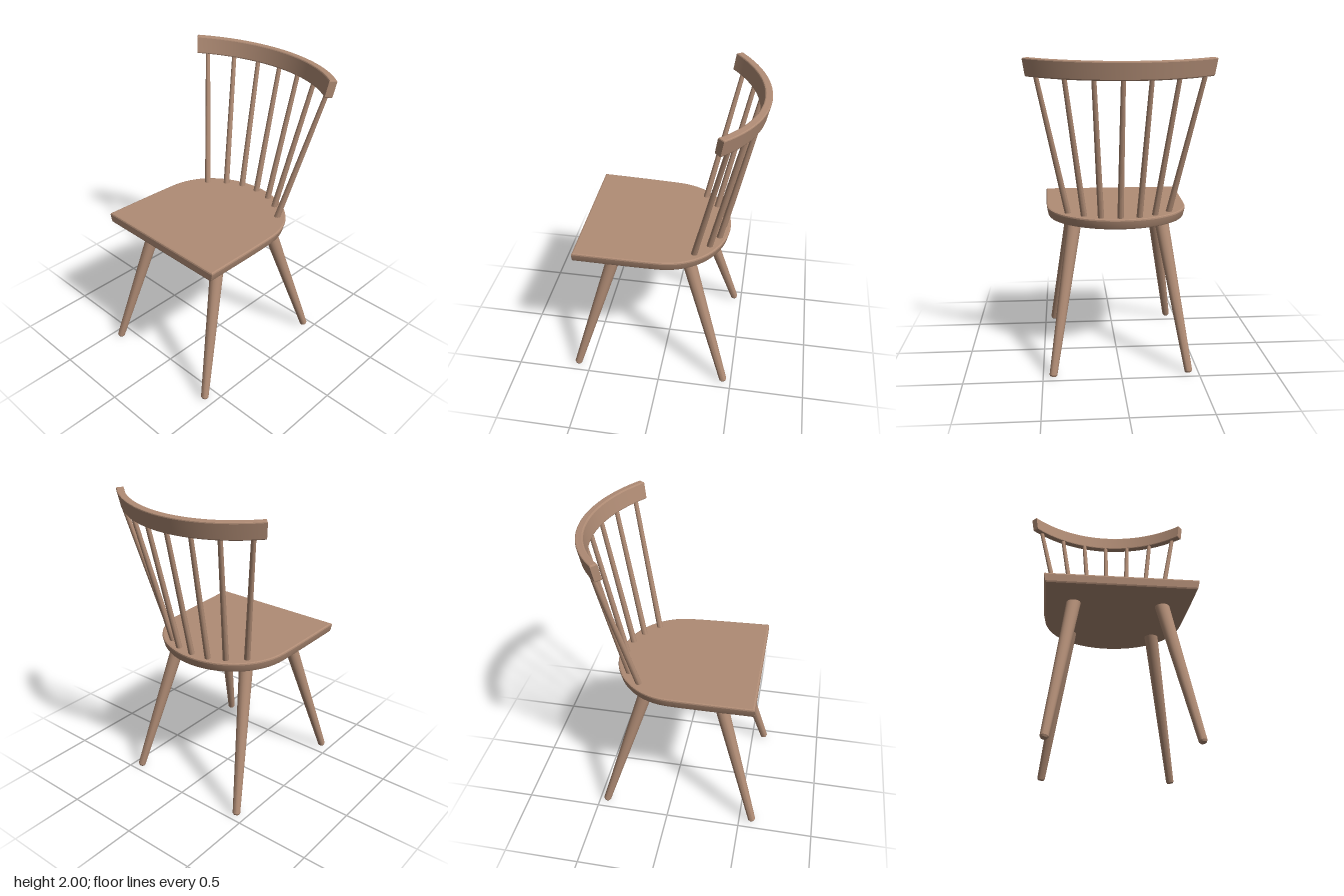
import * as THREE from 'three';
import { toCreasedNormals } from 'three/addons/utils/BufferGeometryUtils.js';

const wood = new THREE.MeshStandardMaterial({ color: 0xb08c75 });
wood.name = 'wood';

// Flat outline (x, -z) raised to a height with softened edges, then reshaped by a rule.
function slab(shape, height, bevel, reshape) {
  const geo = new THREE.ExtrudeGeometry(shape, {
    depth: height - 2 * bevel, curveSegments: 32,
    bevelEnabled: true, bevelSize: bevel, bevelThickness: bevel, bevelOffset: -bevel, bevelSegments: 2,
  });
  geo.rotateX(-Math.PI / 2).translate(0, bevel, 0);
  const pos = geo.attributes.position;
  const v = new THREE.Vector3();
  for (let i = 0; i < pos.count; i++) {
    reshape(v.fromBufferAttribute(pos, i));
    pos.setXYZ(i, v.x, v.y, v.z);
  }
  return toCreasedNormals(geo, 0.35);
}

// Tapered round rod from one point to another, with a chamfered foot.
function rod(name, from, to, r0, r1, chamfer = 0) {
  const a = new THREE.Vector3(...from), b = new THREE.Vector3(...to);
  const dir = b.clone().sub(a), len = dir.length();
  const profile = [[0, 0], [r0 - chamfer, 0]];
  if (chamfer) profile.push([r0, chamfer * 1.5]);
  profile.push([r1, len], [0, len]);
  const geo = new THREE.LatheGeometry(profile.map(p => new THREE.Vector2(...p)), 20);
  const mesh = new THREE.Mesh(toCreasedNormals(geo, 0.5), wood);
  mesh.quaternion.setFromUnitVectors(new THREE.Vector3(0, 1, 0), dir.normalize());
  mesh.position.copy(a);
  mesh.name = name;
  return mesh;
}

function createSeat() {
  const s = new THREE.Shape();
  s.moveTo(-0.477, -0.552);
  s.lineTo(0.477, -0.552);
  s.bezierCurveTo(0.474, -0.35, 0.472, -0.15, 0.465, 0);
  s.bezierCurveTo(0.455, 0.25, 0.24, 0.414, 0, 0.414);
  s.bezierCurveTo(-0.24, 0.414, -0.455, 0.25, -0.465, 0);
  s.bezierCurveTo(-0.472, -0.15, -0.474, -0.35, -0.477, -0.552);
  const h = 0.068;
  // Sides taper in toward the underside; the whole seat slopes down to the back.
  const geo = slab(s, h, 0.012, v => {
    const low = 1 - v.y / h;
    v.x *= 1 - 0.03 * low;
    v.z = 0.552 - (0.552 - v.z) * (1 - 0.018 * low);
    v.y += 1.037 - h - 0.022 * (0.552 - v.z);
  });
  const mesh = new THREE.Mesh(geo, wood);
  mesh.name = 'seat';
  return mesh;
}

function createTopRail() {
  const R = 0.868, thick = 0.048, cz = 0.257, half = 0.74, h = 0.112;
  const s = new THREE.Shape();
  s.absarc(0, -cz, R, Math.PI / 2 - half, Math.PI / 2 + half, false);
  s.absarc(0, -cz, R - thick, Math.PI / 2 + half, Math.PI / 2 - half, true);
  s.closePath();
  // The curved rail flares outward with height and dips toward the middle.
  const geo = slab(s, h, 0.008, v => {
    const k = 1 - 0.028 * (1 - v.y / h);
    v.x *= k;
    v.z = cz + (v.z - cz) * k;
    v.y += 2 - h + 0.09 * (v.z + 0.345);
  });
  const mesh = new THREE.Mesh(geo, wood);
  mesh.name = 'topRail';
  return mesh;
}

export function createModel() {
  const chair = new THREE.Group();
  chair.name = 'chair';
  chair.add(createSeat(), createTopRail());

  // Splayed legs
  for (const side of [1, -1]) {
    const label = side > 0 ? 'Left' : 'Right';
    chair.add(rod('front' + label + 'Leg', [side * 0.436, 0.006, 0.59], [side * 0.278, 0.99, 0.294], 0.025, 0.046, 0.007));
    chair.add(rod('back' + label + 'Leg', [side * 0.436, 0.006, -0.45], [side * 0.278, 0.985, -0.154], 0.025, 0.046, 0.007));
  }

  // Back spindles: [bottom x, bottom z, top x, top z]
  const spindles = new THREE.Group();
  spindles.name = 'spindles';
  const rows = [[0, -0.363, 0, -0.562], [0.12, -0.347, 0.17, -0.543], [0.223, -0.294, 0.341, -0.489], [0.322, -0.206, 0.507, -0.403]];
  for (const [bx, bz, tx, tz] of rows) {
    for (const side of bx ? [1, -1] : [1]) {
      spindles.add(rod('spindle', [side * bx, 1.0, bz], [side * tx, 1.9, tz], 0.02, 0.0145));
    }
  }
  chair.add(spindles);
  return chair;
}
